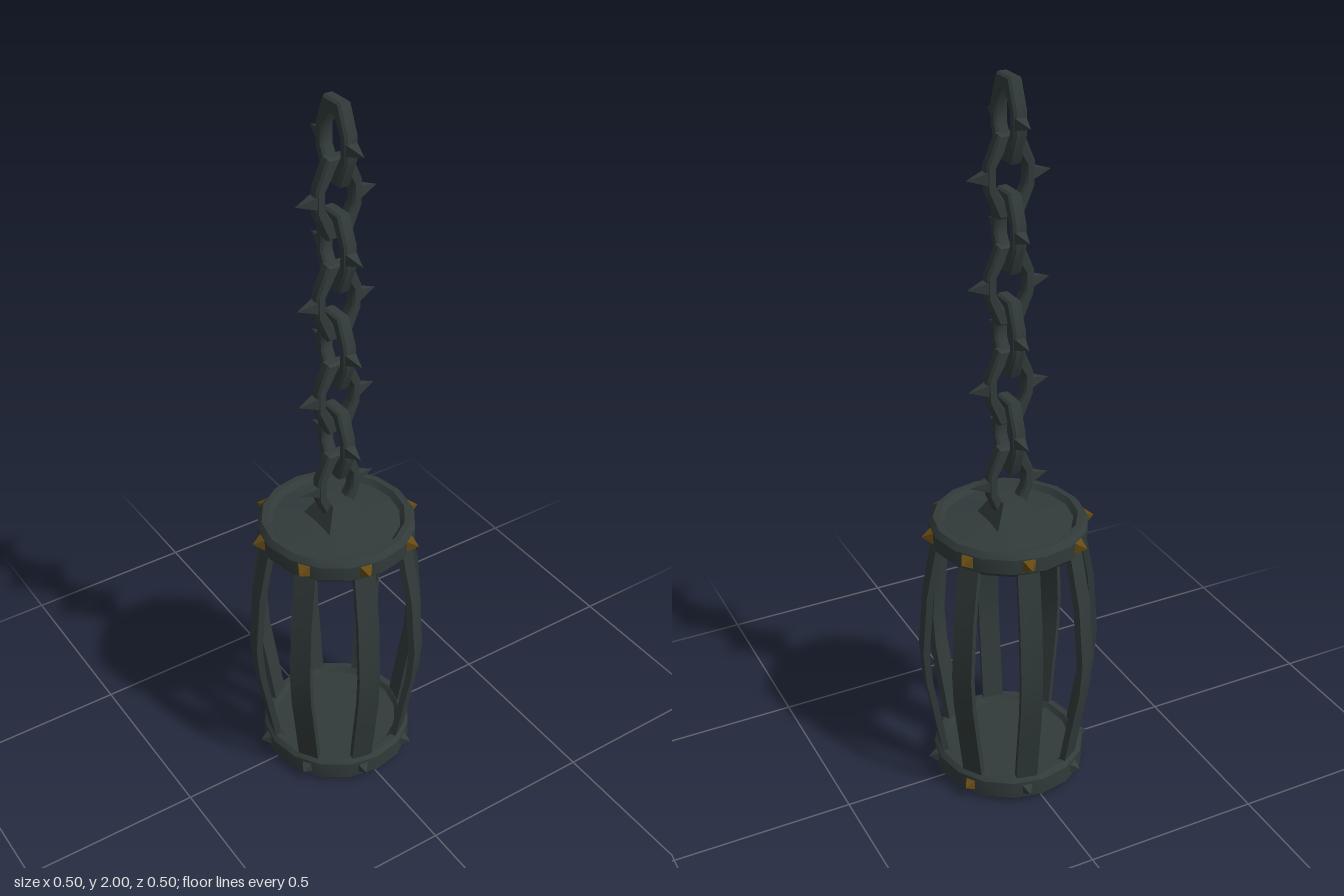
import * as THREE from 'three';
import { toCreasedNormals } from 'three/addons/utils/BufferGeometryUtils.js';

const iron = new THREE.MeshStandardMaterial({ color: 0x313b3a });
iron.name = 'dark iron';
const gold = new THREE.MeshStandardMaterial({ color: 0x664a12 });
gold.name = 'tarnished gold';

const BARS = 8;
const FIRST_ANGLE = THREE.MathUtils.degToRad(12);

function add(parent, name, geometry, material = iron) {
  const mesh = new THREE.Mesh(geometry, material);
  mesh.name = name;
  parent.add(mesh);
  return mesh;
}

const creased = (geometry, angle = 0.6) => toCreasedNormals(geometry, angle);

// Round part from a list of [radius, height], bottom to top
function turned(profile) {
  const points = profile.map(([r, y]) => new THREE.Vector2(r, y));
  return creased(new THREE.LatheGeometry(points, 16));
}

// Four-sided spike along +x, starting at x = start
function spikeGeometry(half, length, start) {
  const g = new THREE.ConeGeometry(half * Math.SQRT2, length, 4);
  g.rotateY(Math.PI / 4);
  g.rotateZ(-Math.PI / 2);
  g.translate(start + length / 2, 0, 0);
  return creased(g, 0.3);
}

// Stretched eight-sided outline for a chain link
function linkOutline(Type, top, side, height, shoulder) {
  return new Type([
    [top, height], [-top, height], [-side, shoulder], [-side, -shoulder],
    [-top, -height], [top, -height], [side, -shoulder], [side, shoulder],
  ].map(([x, y]) => new THREE.Vector2(x, y)));
}

function linkGeometry() {
  const shape = linkOutline(THREE.Shape, 0.03, 0.06, 0.1, 0.03);
  shape.holes.push(linkOutline(THREE.Path, 0.016, 0.044, 0.072, 0.024));
  const g = new THREE.ExtrudeGeometry(shape, {
    depth: 0.022, bevelEnabled: true, bevelSize: 0.005, bevelThickness: 0.007, bevelSegments: 1,
  });
  g.translate(0, 0, -0.011);
  return creased(g);
}

// Bowed flat bar, its broad face pointing along +x
function barGeometry() {
  const outer = [[0.195, 0.04], [0.222, 0.2], [0.243, 0.32], [0.25, 0.42], [0.236, 0.6], [0.202, 0.78]];
  const inner = outer.map(([r, y]) => [r - 0.018, y]).reverse();
  const shape = new THREE.Shape([...outer, ...inner].map(([r, y]) => new THREE.Vector2(r, y)));
  const g = new THREE.ExtrudeGeometry(shape, { depth: 0.06, bevelEnabled: false });
  g.translate(0, 0, -0.03);
  return creased(g);
}

export function createModel() {
  const model = new THREE.Group();
  model.name = 'hangingCage';

  // Floor and lid with rounded rims
  add(model, 'floor', turned([
    [0, 0.004], [0.2, 0.004], [0.215, 0.018], [0.215, 0.068], [0.203, 0.08], [0.185, 0.08], [0.175, 0.066], [0, 0.066],
  ]));
  add(model, 'lid', turned([
    [0, 0.755], [0.175, 0.755], [0.185, 0.742], [0.204, 0.742], [0.216, 0.755],
    [0.216, 0.797], [0.204, 0.813], [0.187, 0.813], [0.175, 0.798], [0.09, 0.806], [0, 0.815],
  ]));

  // Square mount holding the chain
  const mountShape = new THREE.CylinderGeometry(0.03 * Math.SQRT2, 0.067 * Math.SQRT2, 0.07, 4);
  mountShape.rotateY(Math.PI / 4);
  add(model, 'chainMount', creased(mountShape, 0.3)).position.y = 0.833;

  // Bars with a stud over each end
  const bar = barGeometry();
  const upperStud = spikeGeometry(0.024, 0.04, 0.2);
  const lowerStud = spikeGeometry(0.02, 0.037, 0.2);
  for (let i = 0; i < BARS; i++) {
    const spoke = new THREE.Group();
    spoke.name = 'barWithStuds';
    spoke.rotation.y = -(FIRST_ANGLE + (i * Math.PI * 2) / BARS);
    add(spoke, 'bar', bar);
    add(spoke, 'upperStud', upperStud, gold).position.y = 0.777;
    add(spoke, 'lowerStud', lowerStud, i === 7 ? gold : iron).position.y = 0.044;
    model.add(spoke);
  }

  // Chain of alternating links, each with a spike on both sides
  const link = linkGeometry();
  const spike = spikeGeometry(0.016, 0.055, 0.06);
  for (let i = 0; i < 8; i++) {
    const group = new THREE.Group();
    group.name = 'chainLink';
    group.position.y = 0.917 + i * 0.1397;
    group.rotation.y = (i % 2) * Math.PI / 2;
    add(group, 'link', link);
    add(group, 'leftSpike', spike);
    add(group, 'rightSpike', spike).rotation.y = Math.PI;
    model.add(group);
  }

  return model;
}
